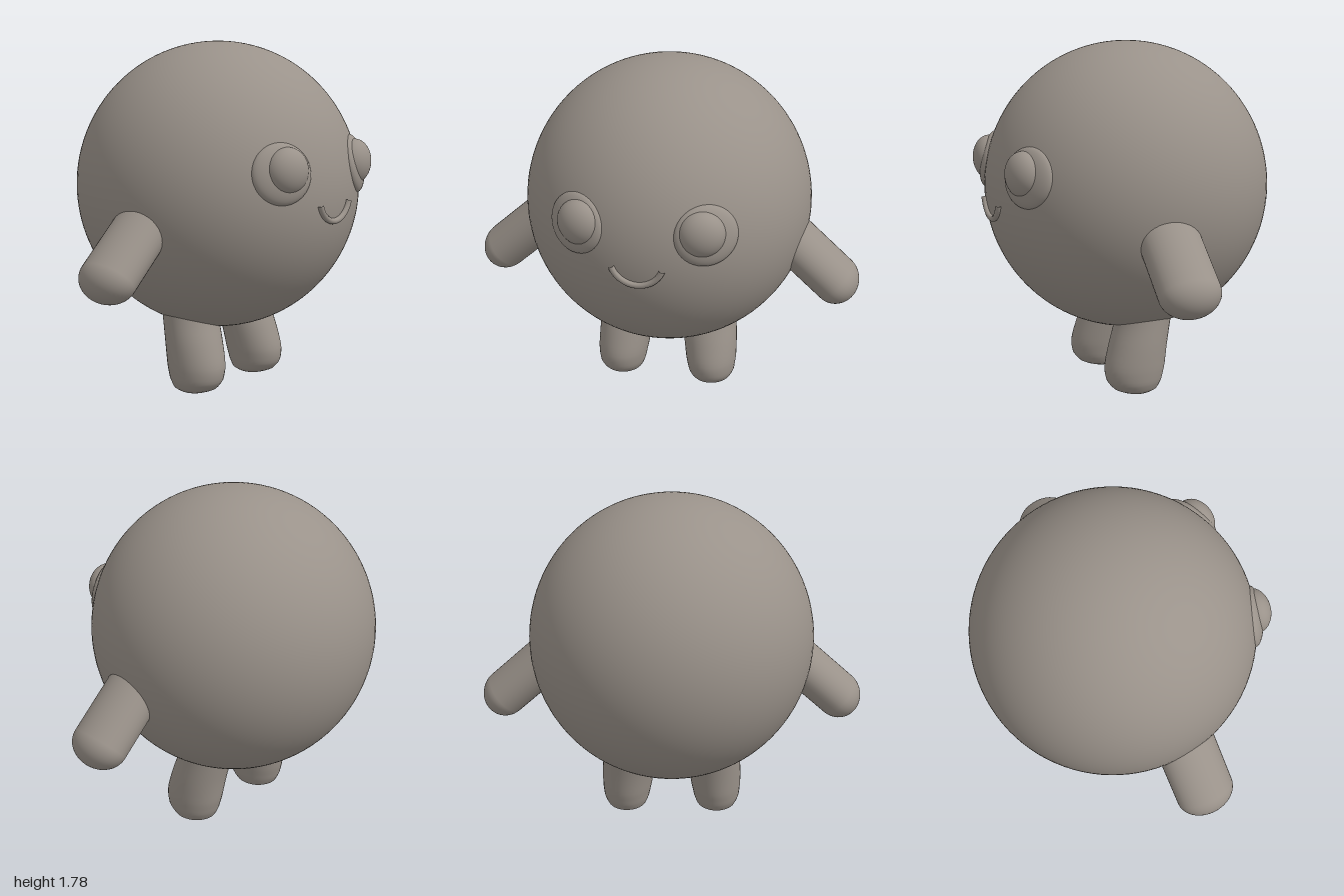
import * as THREE from 'three';

const clay = new THREE.MeshStandardMaterial({ color: 0x9a928a });
clay.name = 'warm grey clay';

function add(parent, name, geometry, pos = [0, 0, 0]) {
  const mesh = new THREE.Mesh(geometry, clay);
  mesh.name = name;
  mesh.position.set(...pos);
  parent.add(mesh);
  return mesh;
}

// Smooth skin over horizontal elliptical rings [x, y, z, radiusX, radiusZ], from bottom to top
function loft(rings, side, segments = 36, steps = 28) {
  const centre = new THREE.CatmullRomCurve3(rings.map(r => new THREE.Vector3(side * r[0], r[1], r[2])));
  const radii = new THREE.CatmullRomCurve3(rings.map(r => new THREE.Vector3(r[3], r[4], 0)));
  const positions = [], index = [];
  for (let i = 0; i <= steps; i++) {
    const c = centre.getPoint(i / steps), r = radii.getPoint(i / steps);
    for (let j = 0; j < segments; j++) {
      const a = (j / segments) * Math.PI * 2;
      positions.push(c.x + r.x * Math.cos(a), c.y, c.z + r.y * Math.sin(a));
      if (i === steps) continue;
      const p = i * segments + j, q = i * segments + (j + 1) % segments;
      index.push(p, p + segments, q, q, p + segments, q + segments);
    }
  }
  const g = new THREE.BufferGeometry();
  g.setAttribute('position', new THREE.Float32BufferAttribute(positions, 3));
  g.setIndex(index);
  g.computeVertexNormals();
  return g;
}

export function createModel() {
  const model = new THREE.Group();
  model.name = 'roundCreature';

  // Ball body
  const body = add(model, 'body', new THREE.SphereGeometry(1, 96, 64), [0, 1.045, -0.008]);
  body.scale.set(0.727, 0.735, 0.727);

  for (const side of [1, -1]) {
    const label = side > 0 ? 'left' : 'right';

    // Arm: flattened capsule hanging outwards
    const shoulder = new THREE.Vector3(side * 0.57, 0.97, 0.045);
    const hand = new THREE.Vector3(side * 0.88, 0.69, 0.05);
    const axis = hand.clone().sub(shoulder);
    const arm = add(model, label + 'Arm', new THREE.CapsuleGeometry(0.118, axis.length(), 16, 36));
    arm.position.copy(shoulder).lerp(hand, 0.5);
    arm.rotation.z = Math.atan2(-axis.x, axis.y);
    arm.scale.z = 1.3;

    // Leg: stubby, leaning forward, with a rounded sole
    add(model, label + 'Leg', loft([
      [0.245, 0.0, 0.035, 0.001, 0.001],
      [0.245, 0.008, 0.037, 0.065, 0.065],
      [0.245, 0.03, 0.043, 0.105, 0.115],
      [0.246, 0.075, 0.05, 0.124, 0.145],
      [0.242, 0.15, 0.045, 0.135, 0.158],
      [0.232, 0.26, 0.022, 0.142, 0.151],
      [0.218, 0.38, -0.01, 0.145, 0.142],
      [0.21, 0.5, -0.035, 0.145, 0.14],
    ], side));

    // Eye: shallow disc lying on the body, with a bulging pupil
    const disc = add(model, label + 'EyeDisc', new THREE.SphereGeometry(1, 40, 28), [side * 0.308, 1.17, 0.618]);
    disc.scale.set(0.155, 0.148, 0.052);
    disc.rotation.set(-0.18, side * 0.46, 0, 'YXZ');
    const pupil = add(model, label + 'Pupil', new THREE.SphereGeometry(1, 40, 28), [side * 0.288, 1.182, 0.635]);
    pupil.scale.set(0.114, 0.114, 0.085);
    pupil.rotation.y = side * 0.25;
  }

  // Smile: upward-curving arc set into the face
  const sweep = 2.5;
  const smile = new THREE.TorusGeometry(0.128, 0.015, 12, 40, sweep);
  smile.rotateZ(-Math.PI / 2 - sweep / 2);
  add(model, 'mouth', smile, [0, 1.05, 0.715]);

  return model;
}
